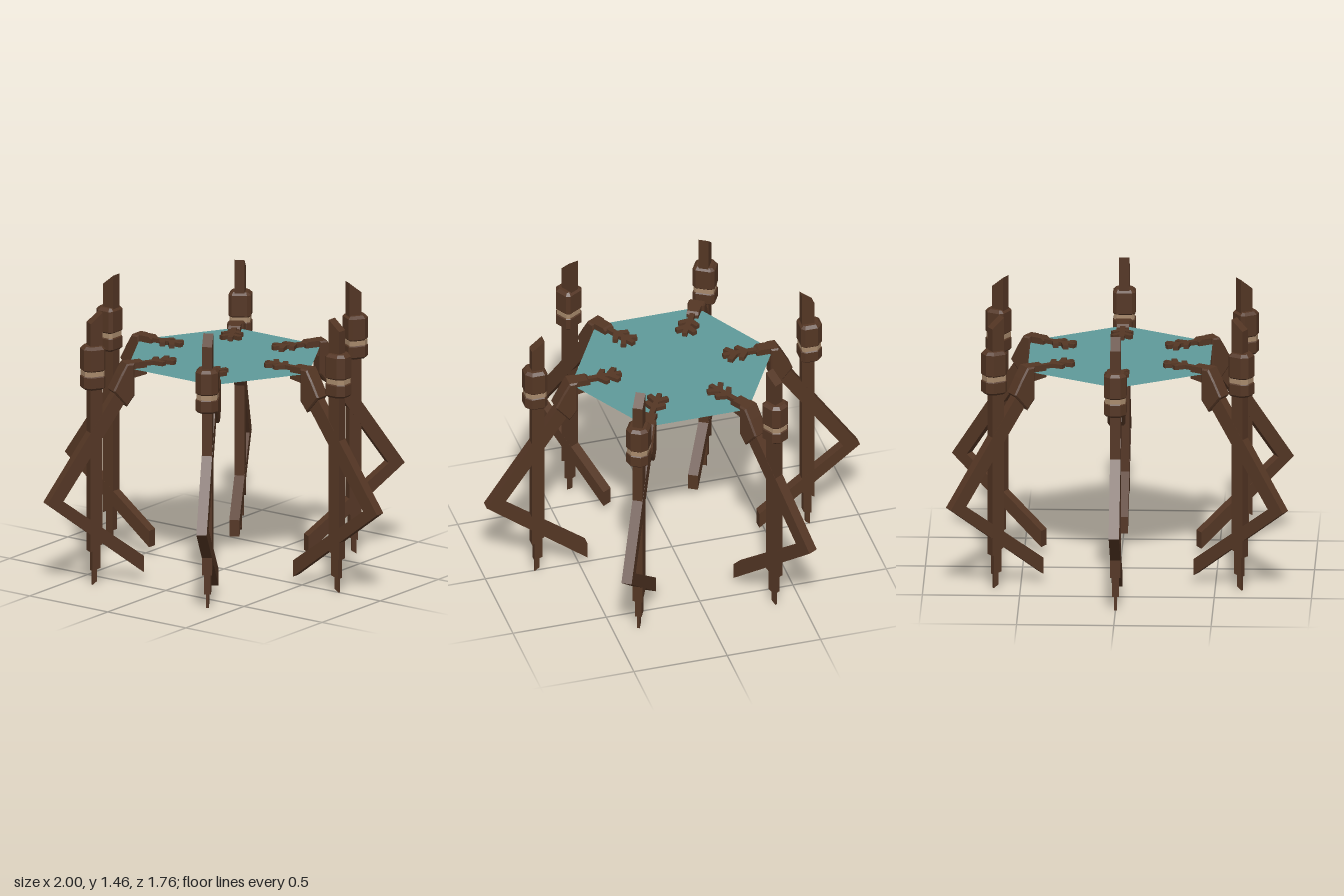
import * as THREE from 'three';

const wood = new THREE.MeshStandardMaterial({ color: 0x543624 });
wood.name = 'dark wood';
const cord = new THREE.MeshStandardMaterial({ color: 0xa88a6c });
cord.name = 'pale cord';
const glass = new THREE.MeshStandardMaterial({ color: 0x5f9a9a, side: THREE.DoubleSide });
glass.name = 'teal membrane';

function polygon(points) {
  return new THREE.Shape(points.map(([x, y]) => new THREE.Vector2(x, y)));
}

// Side profile (radius, height), extruded evenly to both sides of the leg plane.
function slab(name, points, halfWidth, bevel = 0) {
  const geometry = new THREE.ExtrudeGeometry(polygon(points), {
    depth: 2 * (halfWidth - bevel), bevelEnabled: bevel > 0, bevelSize: bevel,
    bevelThickness: bevel, bevelOffset: -bevel, bevelSegments: 1,
  });
  geometry.translate(0, 0, -(halfWidth - bevel));
  const mesh = new THREE.Mesh(geometry, wood);
  mesh.name = name;
  return mesh;
}

// Plan outline (radius, sideways), extruded upward between two heights.
function plate(name, points, y0, y1, bevel = 0, material = wood) {
  const geometry = new THREE.ExtrudeGeometry(polygon(points), {
    depth: y1 - y0 - 2 * bevel, bevelEnabled: bevel > 0, bevelSize: bevel,
    bevelThickness: bevel, bevelOffset: -bevel, bevelSegments: 1,
  });
  geometry.rotateX(-Math.PI / 2);
  geometry.translate(0, y0 + bevel, 0);
  const mesh = new THREE.Mesh(geometry, material);
  mesh.name = name;
  return mesh;
}

// Octagonal plan of the collar, shrunk by an inset.
function collarPlan(inset) {
  const half = [
    [0.795 - inset, 0.027], [0.765, 0.058 - inset],
    [0.697, 0.058 - inset], [0.68 + inset, 0.04],
  ];
  return [...half, ...half.slice().reverse().map(([r, t]) => [r, -t])];
}

// Branching finger plan: a spine with two pairs of swept barbs.
function fingerPlan() {
  const half = [
    [0.47, 0.014], [0.402, 0.014], [0.368, 0.058], [0.345, 0.045], [0.364, 0.014],
    [0.347, 0.014], [0.308, 0.058], [0.286, 0.042], [0.308, 0.013], [0.272, 0.013],
  ];
  return [...half, ...half.slice().reverse().map(([r, t]) => [r, -t])];
}

function createLeg() {
  const leg = new THREE.Group();
  leg.name = 'leg';

  // Upright post with stepped pointed foot
  leg.add(slab('post', [[0.69, 0.22], [0.757, 0.18], [0.757, 1.4], [0.69, 1.455]], 0.026));
  leg.add(slab('postStep', [[0.7, 0.09], [0.743, 0.075], [0.743, 0.25], [0.7, 0.25]], 0.018));
  leg.add(slab('postTip', [[0.713, 0.018], [0.738, 0], [0.738, 0.12], [0.713, 0.12]], 0.007));

  // Collar in two blocks with a cord between them
  leg.add(plate('collarLower', collarPlan(0), 1.05, 1.13, 0.012));
  leg.add(plate('collarCord', collarPlan(0.005), 1.122, 1.148, 0, cord));
  leg.add(plate('collarUpper', collarPlan(0), 1.14, 1.28, 0.015));

  // Folded brace: elbow to knee, then back to the foot
  leg.add(slab('upperBrace', [[0.55, 0.985], [0.91, 0.47], [1, 0.463], [0.612, 1.03]], 0.027));
  leg.add(slab('lowerBrace', [[0.46, 0.13], [0.46, 0.043], [1, 0.463], [0.91, 0.47]], 0.0265));

  // Arm reaching to the membrane
  leg.add(slab('elbow', [[0.56, 0.94], [0.636, 1.03], [0.594, 1.11], [0.56, 1.168],
    [0.517, 1.168], [0.517, 0.995]], 0.045, 0.008));
  leg.add(slab('wrist', [[0.445, 1.1], [0.53, 1.086], [0.53, 1.168], [0.46, 1.168],
    [0.445, 1.155]], 0.031));

  // Paired fingers gripping the membrane from above and below
  leg.add(plate('upperFingers', fingerPlan(), 1.139, 1.161));
  leg.add(plate('lowerFingers', fingerPlan(), 1.109, 1.131));
  return leg;
}

export function createModel() {
  const model = new THREE.Group();
  model.name = 'sixLeggedStand';

  const prototype = createLeg();
  for (let i = 0; i < 6; i++) {
    const leg = prototype.clone();
    leg.name = `leg${i + 1}`;
    leg.rotation.y = (i * Math.PI) / 3;
    model.add(leg);
  }

  // Hexagonal membrane held between the fingers
  const membrane = new THREE.Mesh(new THREE.CircleGeometry(0.54, 6), glass);
  membrane.name = 'membrane';
  membrane.rotation.x = -Math.PI / 2;
  membrane.position.y = 1.135;
  model.add(membrane);
  return model;
}
